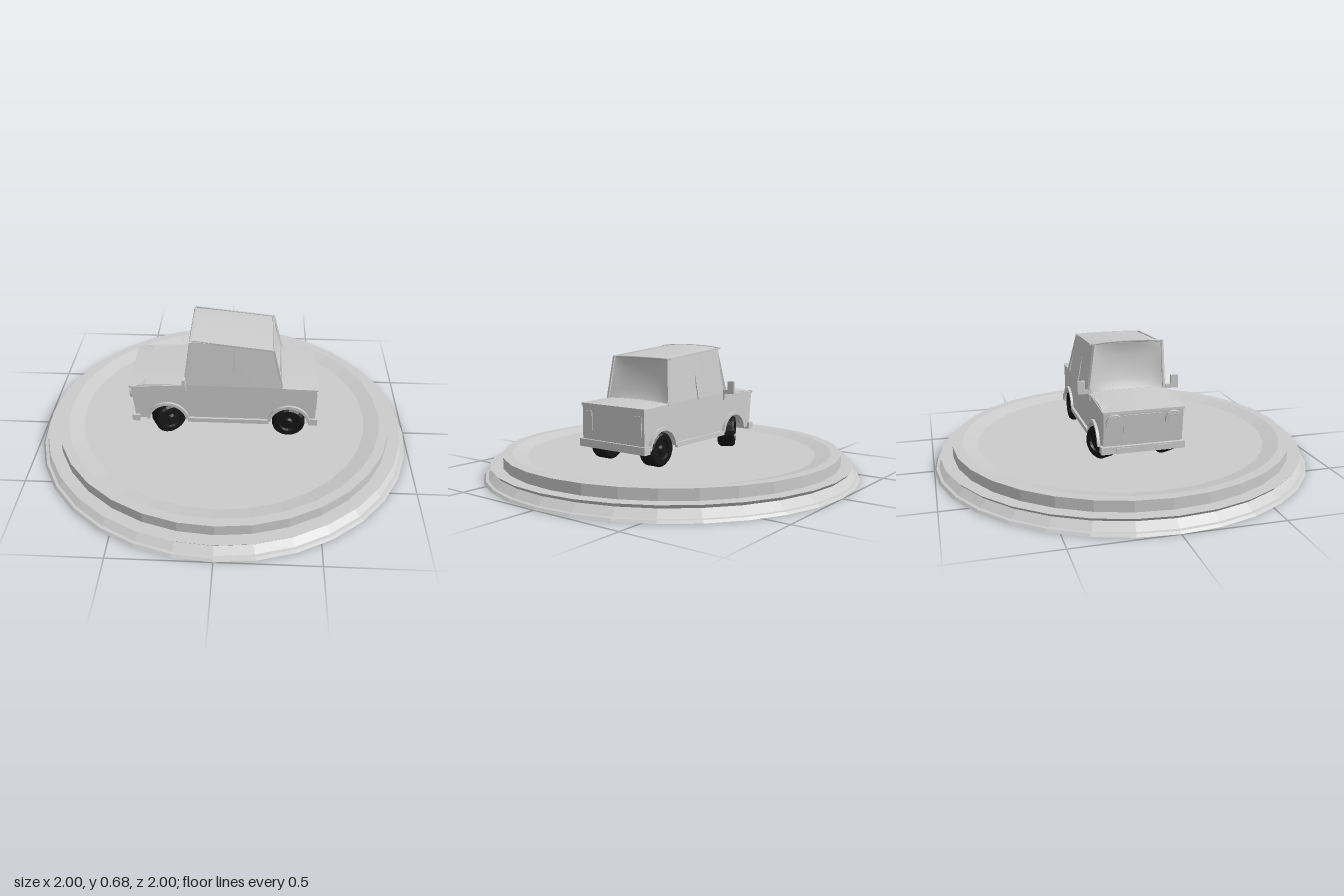
import * as THREE from 'three';

const grey = new THREE.MeshStandardMaterial({ color: 0xcccccc, side: THREE.DoubleSide });
const flatGrey = new THREE.MeshStandardMaterial({ color: 0xcccccc, flatShading: true });
const black = new THREE.MeshStandardMaterial({ color: 0x161616, flatShading: true });

function add(parent, name, geometry, material = flatGrey, pos = [0, 0, 0], rot = [0, 0, 0]) {
  const mesh = new THREE.Mesh(geometry, material);
  mesh.name = name;
  mesh.position.set(...pos);
  mesh.rotation.set(...rot);
  parent.add(mesh);
  return mesh;
}

// Box given by its x, y and z ranges
function block(parent, name, x, y, z) {
  return add(parent, name, new THREE.BoxGeometry(x[1] - x[0], y[1] - y[0], z[1] - z[0]), flatGrey,
    [(x[0] + x[1]) / 2, (y[0] + y[1]) / 2, (z[0] + z[1]) / 2]);
}

// Four-cornered panel (a-b, then c-d), pushed out along "push" by the weight w(u, v)
function panel(parent, name, [a, b, c, d], push, weight) {
  const g = new THREE.PlaneGeometry(1, 1, 12, 8);
  const p = g.attributes.position;
  const [A, B, C, D, P] = [a, b, c, d, push].map(q => new THREE.Vector3(...q));
  for (let i = 0; i < p.count; i++) {
    const u = p.getX(i) + 0.5, v = p.getY(i) + 0.5;
    const q = A.clone().lerp(B, u).lerp(C.clone().lerp(D, u), v).addScaledVector(P, weight(u, v));
    p.setXYZ(i, q.x, q.y, q.z);
  }
  g.computeVertexNormals();
  return add(parent, name, g, grey);
}

// Square bar between two points
function bar(parent, name, from, to, size) {
  const a = new THREE.Vector3(...from), b = new THREE.Vector3(...to);
  const m = add(parent, name, new THREE.BoxGeometry(size, size, a.distanceTo(b) + size * 0.6));
  m.position.copy(a).lerp(b, 0.5);
  m.lookAt(b);
}

const arch = s => Math.pow(Math.max(0, Math.sin(Math.PI * s)), 0.6);
const crown = u => arch(u);
const dish = (u, v) => arch(u) * arch(v);

function createBase(group) {
  const profile = [[0, 0], [1, 0], [0.99, 0.012], [0.975, 0.014], [0.935, 0.048], [0.95, 0.053],
    [0.965, 0.07], [0.9, 0.07], [0.9, 0.125], [0.85, 0.125], [0.77, 0.106], [0, 0.106]];
  add(group, 'displayBase', new THREE.LatheGeometry(profile.map(p => new THREE.Vector2(...p)), 32));
}

function createWheel(parent, name, x, z, steer) {
  const wheel = new THREE.Group();
  wheel.name = name;
  wheel.position.set(x, 0.191, z);
  wheel.rotation.y = steer;
  const side = Math.sign(z);
  const w = 0.045;
  const tyre = [[0, -w + 0.008], [0.045, -w + 0.008], [0.05, -w], [0.075, -w], [0.086, -w + 0.012],
    [0.086, w - 0.012], [0.075, w], [0.05, w], [0.045, w - 0.012], [0, w - 0.012]];
  add(wheel, 'tyre', new THREE.LatheGeometry(tyre.map(p => new THREE.Vector2(...p)), 18), black,
    [0, 0, 0], [side * Math.PI / 2, 0, 0]);
  add(wheel, 'hubCap', new THREE.CylinderGeometry(0.016, 0.026, 0.014, 12), black,
    [0, 0, side * 0.038], [side * Math.PI / 2, 0, 0]);
  parent.add(wheel);
}

function createBody(car, wheelX) {
  // Side outline with open wheel arches, extruded across the car
  const s = new THREE.Shape();
  s.moveTo(-0.455, 0.2);
  wheelX.forEach(x => {
    s.lineTo(x - 0.097, 0.2);
    s.absarc(x, 0.191, 0.097, Math.PI - 0.09, 0.09, true);
  });
  [[0.488, 0.2], [0.488, 0.405], [0.31, 0.41], [-0.19, 0.415], [-0.4, 0.41], [-0.475, 0.395]]
    .forEach(p => s.lineTo(...p));
  s.closePath();
  const g = new THREE.ExtrudeGeometry(s, { depth: 0.4, bevelEnabled: false, curveSegments: 14 });
  add(car, 'body', g, flatGrey, [0, 0, -0.2]);

  // Crowned bonnet and boot lid
  panel(car, 'bonnet', [[-0.482, 0.397, 0.205], [-0.482, 0.397, -0.205], [-0.19, 0.415, 0.205], [-0.19, 0.415, -0.205]],
    [0, 0.012, 0], u => crown(u));
  panel(car, 'bootLid', [[0.31, 0.41, 0.205], [0.31, 0.41, -0.205], [0.492, 0.405, 0.205], [0.492, 0.405, -0.205]],
    [0, 0.01, 0], u => crown(u));
  bar(car, 'bonnetLip', [-0.478, 0.396, -0.2], [-0.478, 0.396, 0.2], 0.012);
  bar(car, 'bootLip', [0.488, 0.402, -0.2], [0.488, 0.402, 0.2], 0.01);

  // Bumpers, with the front one carrying small over-riders
  block(car, 'rearBumper', [0.455, 0.5], [0.186, 0.225], [-0.212, 0.212]);
  block(car, 'frontBumper', [-0.475, -0.435], [0.186, 0.222], [-0.212, 0.212]);

  [-1, 1].forEach(m => {
    // Sill and wheel arch trims
    block(car, 'sill', [-0.18, 0.245], [0.188, 0.212], [m * 0.205 - 0.008, m * 0.205 + 0.008]);
    wheelX.forEach(x => {
      const r = new THREE.Shape();
      r.absarc(0, 0, 0.112, 0.1, Math.PI - 0.1, false);
      r.absarc(0, 0, 0.096, Math.PI - 0.1, 0.1, true);
      add(car, 'wheelArchTrim', new THREE.ExtrudeGeometry(r, { depth: 0.016, bevelEnabled: false, curveSegments: 12 }),
        flatGrey, [x, 0.191, m * 0.205 - 0.008]);
    });
    // Lamps
    add(car, 'headlight', new THREE.CylinderGeometry(0.042, 0.042, 0.022, 16), flatGrey,
      [-0.474, 0.345, m * 0.148], [0, 0, Math.PI / 2 + 0.1]);
    add(car, 'headlightLens', new THREE.CylinderGeometry(0.032, 0.032, 0.026, 16), flatGrey,
      [-0.475, 0.345, m * 0.148], [0, 0, Math.PI / 2 + 0.1]);
    block(car, 'tailLight', [0.485, 0.492], [0.27, 0.37], [m * 0.16 - 0.025, m * 0.16 + 0.025]);
    block(car, 'overRider', [-0.48, -0.47], [0.192, 0.216], [m * 0.1 - 0.04, m * 0.1 + 0.04]);
  });
  const grille = block(car, 'grille', [-0.47, -0.462], [0.24, 0.38], [-0.1, 0.1]);
  grille.rotation.z = 0.1;
}

function createCabin(car) {
  // Corner points on one side: front base, front top, rear base, rear top
  const corner = m => ({
    fb: [-0.195, 0.412, m * 0.2], ft: [-0.16, 0.66, m * 0.178],
    rb: [0.308, 0.408, m * 0.2], rt: [0.258, 0.625, m * 0.178],
  });
  const L = corner(1), R = corner(-1);
  panel(car, 'windscreen', [L.fb, R.fb, L.ft, R.ft], [0.022, -0.002, 0], dish);
  panel(car, 'rearWindow', [R.rb, L.rb, R.rt, L.rt], [-0.022, -0.004, 0], dish);
  panel(car, 'roof', [L.ft, R.ft, L.rt, R.rt], [0, 0.012, 0], (u, v) => crown(u) * (1 - 0.6 * v));
  [L, R].forEach(c => {
    panel(car, 'cabinSide', [c.fb, c.rb, c.ft, c.rt], [0, 0, 0], () => 0);
    bar(car, 'frontPillar', c.fb, c.ft, 0.012);
    bar(car, 'rearPillar', c.rb, c.rt, 0.012);
    bar(car, 'roofRail', c.ft, c.rt, 0.01);
    bar(car, 'doorPost', [0.06, 0.41, c.fb[2]], [0.06, 0.64, c.ft[2]], 0.005);
    // Door mirror
    const m = Math.sign(c.fb[2]);
    block(car, 'mirrorHousing', [-0.2, -0.185], [0.415, 0.483], [m * 0.247 - 0.019, m * 0.247 + 0.019]);
    block(car, 'mirrorArm', [-0.2, -0.185], [0.415, 0.435], [m * 0.215 - 0.016, m * 0.215 + 0.016]);
    block(car, 'mirrorMount', [-0.2, -0.185], [0.38, 0.435], [m * 0.203 - 0.004, m * 0.203 + 0.004]);
  });
  // Cross rails following the roof crown
  const rail = (name, l, r, rise) => {
    const pts = Array.from({ length: 9 }, (_, i) =>
      new THREE.Vector3(...l).lerp(new THREE.Vector3(...r), i / 8).add(new THREE.Vector3(0, rise * crown(i / 8), 0)));
    add(car, name, new THREE.TubeGeometry(new THREE.CatmullRomCurve3(pts), 16, 0.006, 6), grey);
  };
  rail('frontHeader', L.ft, R.ft, 0.01);
  rail('rearHeader', L.rt, R.rt, 0.003);
  rail('windscreenSill', L.fb, R.fb, 0.01);
  rail('rearWindowSill', L.rb, R.rb, 0.008);
}

export function createModel() {
  const model = new THREE.Group();
  model.name = 'carOnBase';
  createBase(model);

  const car = new THREE.Group();
  car.name = 'car';
  car.position.z = -0.01;
  model.add(car);

  const wheelX = [-0.286, 0.35];
  createBody(car, wheelX);
  createCabin(car);
  [-1, 1].forEach(m => {
    const side = m > 0 ? 'Left' : 'Right';
    createWheel(car, 'frontWheel' + side, wheelX[0], m * 0.16, 0.49);
    createWheel(car, 'rearWheel' + side, wheelX[1], m * 0.16, 0);
  });
  return model;
}
